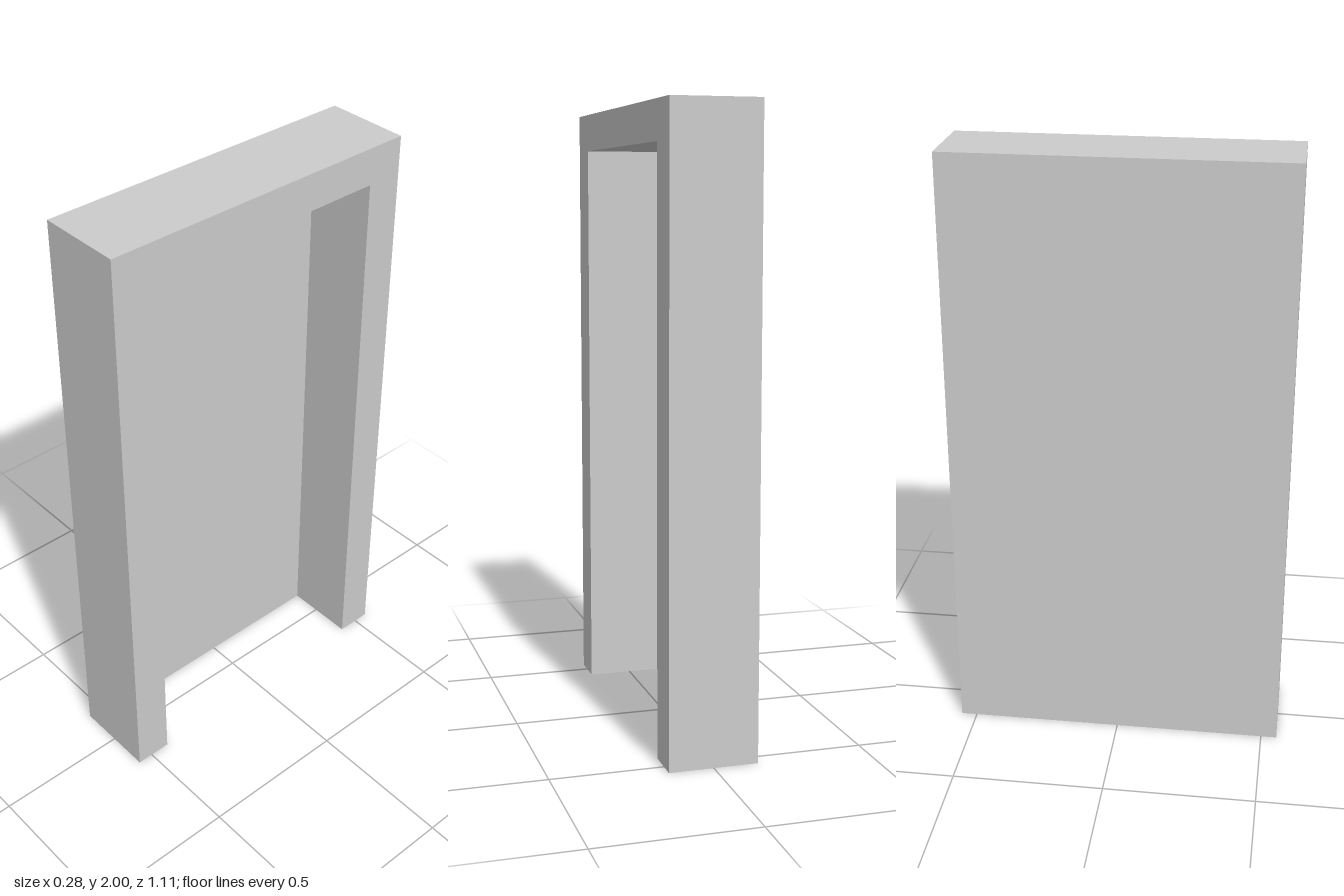
import * as THREE from 'three';

const WIDTH = 1.106, HEIGHT = 2, DEPTH = 0.285; // outer size along z, y, x
const BORDER = 0.123, PANEL = 0.037;            // frame border and panel thickness

export function createModel() {
  const group = new THREE.Group();
  group.name = 'doorFrame';
  const material = new THREE.MeshStandardMaterial({ color: 0xcccccc, flatShading: true });

  // Frame: two jambs and a lintel as one U-shaped outline, extruded along x
  const w = WIDTH / 2, inner = w - BORDER, top = HEIGHT - BORDER;
  const outline = new THREE.Shape([
    [-w, 0], [-inner, 0], [-inner, top], [inner, top],
    [inner, 0], [w, 0], [w, HEIGHT], [-w, HEIGHT],
  ].map(([x, y]) => new THREE.Vector2(x, y)));
  const frameGeometry = new THREE.ExtrudeGeometry(outline, { depth: DEPTH, bevelEnabled: false });
  frameGeometry.translate(0, 0, -DEPTH / 2).rotateY(Math.PI / 2);
  const frame = new THREE.Mesh(frameGeometry, material);
  frame.name = 'frame';

  // Thin panel closing the opening, flush with the -x side
  const panel = new THREE.Mesh(new THREE.BoxGeometry(PANEL, top, inner * 2), material);
  panel.name = 'backPanel';
  panel.position.set((PANEL - DEPTH) / 2, top / 2, 0);

  group.add(frame, panel);
  return group;
}
